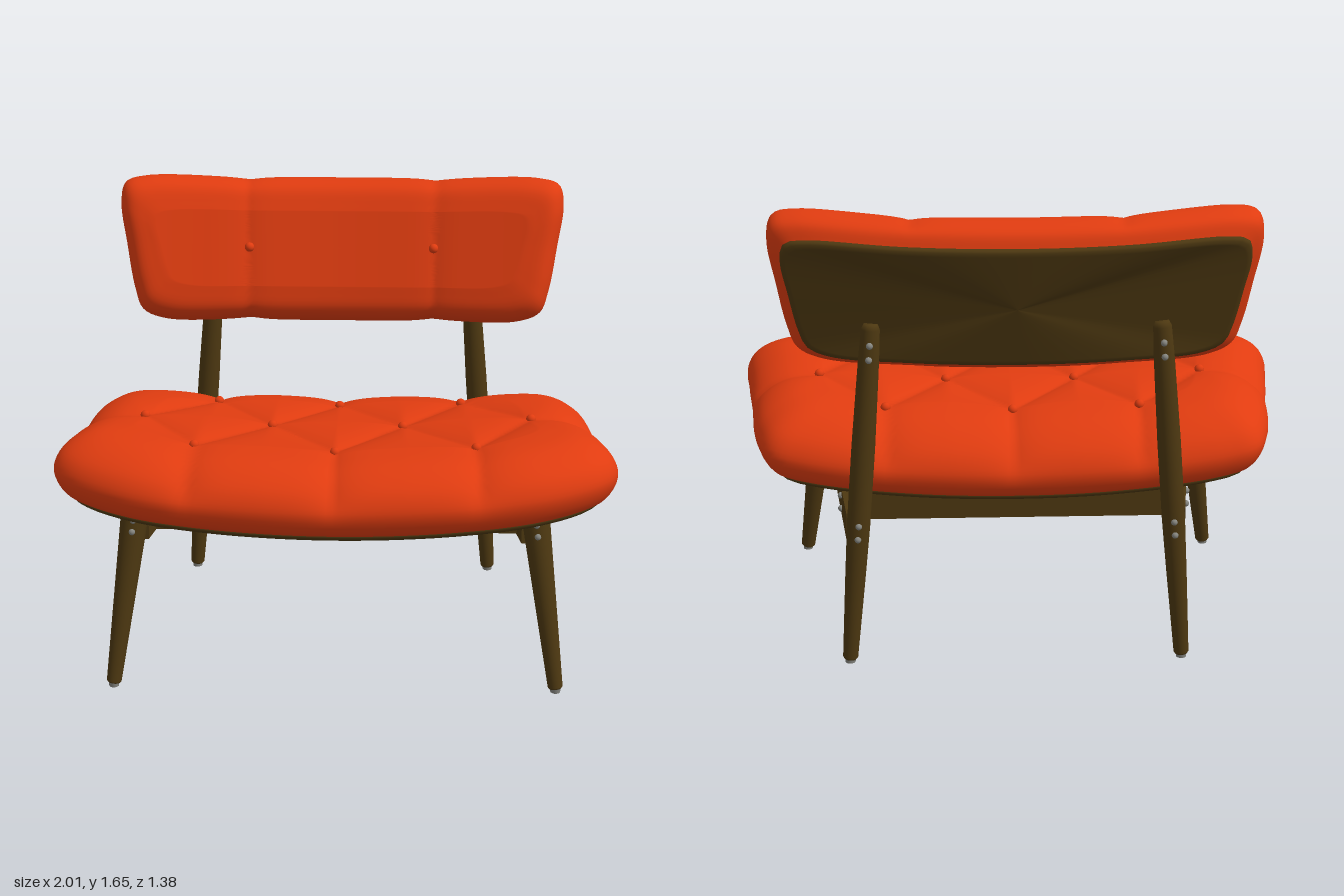
import * as THREE from 'three';

const V = (x, y, z) => new THREE.Vector3(x, y, z);
const fabric = new THREE.MeshStandardMaterial({ color: 0xe03c10 });
fabric.name = 'orange fabric';
const wood = new THREE.MeshStandardMaterial({ color: 0x4d3811 });
wood.name = 'dark wood';
const metal = new THREE.MeshStandardMaterial({ color: 0x85857f });
metal.name = 'grey metal';

// Right half of each outline as (a, b); mirrored to close the loop
const seatShape = {
  half: [[0, -0.69], [0.5, -0.66], [0.76, -0.605], [0.94, -0.5], [1, -0.4], [0.985, -0.2], [0.96, 0],
    [0.925, 0.25], [0.87, 0.38], [0.76, 0.425], [0.4, 0.465], [0, 0.475]],
  mid: -0.11, A: 1, B: 0.58,
  map: (a, b, h) => V(a, h - 0.08 * b + 0.07 * a * a, -b),
};
const backShape = {
  half: [[0, -0.29], [0.4, -0.29], [0.68, -0.285], [0.76, -0.25], [0.79, -0.17], [0.82, 0], [0.842, 0.16],
    [0.825, 0.235], [0.75, 0.26], [0.4, 0.26], [0, 0.26]],
  mid: -0.015, A: 0.84, B: 0.275,
  map: (a, b, h) => {
    const w = h + 0.14 * a * a;
    return V(a, 1.35 + 0.961 * b + 0.276 * w, -0.62 - 0.276 * b + 0.961 * w);
  },
};

function segmentDistance(a, b, [x1, y1, x2, y2]) {
  const dx = x2 - x1, dy = y2 - y1;
  const t = THREE.MathUtils.clamp(((a - x1) * dx + (b - y1) * dy) / (dx * dx + dy * dy), 0, 1);
  return Math.hypot(a - x1 - t * dx, b - y1 - t * dy);
}

// Closed pad: outline swept through a profile of (inset, height), with seams pressed in
function pad(shape, profile, { n = 240, inner = 50, steps = 24, seams = [], depth = 0, width = 0.08, seamFrom = 0, seamFull = 1 } = {}) {
  const { half, mid, A, B, map } = shape;
  const left = half.slice(1, -1).reverse().map(([a, b]) => [-a, b]);
  const outline = new THREE.CatmullRomCurve3([...half, ...left].map(([a, b]) => V(a, b, 0)), true, 'centripetal').getSpacedPoints(n);
  const curve = new THREE.CatmullRomCurve3(profile.map(([i, h]) => V(i, h, 0)), false, 'centripetal').getPoints(steps);
  const first = curve[0], last = curve[steps];
  const rows = [[0, 0, first.y]];
  for (const p of curve) rows.push([1 - p.x / A, 1 - p.x / B, p.y]);
  for (let k = inner - 1; k >= 0; k--) {
    rows.push([(1 - last.x / A) * k / inner, (1 - last.x / B) * k / inner, last.y]);
  }
  const pos = [], index = [];
  rows.forEach(([sa, sb, h], i) => {
    for (let j = 0; j < n; j++) {
      pos.push(outline[j].x * sa, mid + (outline[j].y - mid) * sb, h);
      if (i === 0) continue;
      const k = (j + 1) % n, lo = (i - 1) * n, hi = i * n;
      index.push(lo + j, lo + k, hi + k, lo + j, hi + k, hi + j);
    }
  });
  const g = new THREE.BufferGeometry();
  g.setAttribute('position', new THREE.Float32BufferAttribute(pos, 3));
  g.setIndex(index);
  g.computeVertexNormals();
  const P = g.attributes.position, N = g.attributes.normal, p = V(), m = V();
  for (let i = 0; i < P.count; i++) {
    p.fromBufferAttribute(P, i);
    m.fromBufferAttribute(N, i);
    if (seams.length) {
      const d = Math.min(...seams.map((s) => segmentDistance(p.x, p.y, s)));
      const k = THREE.MathUtils.smoothstep(p.z, seamFrom, seamFull);
      p.addScaledVector(m, -depth * k * Math.exp(-d / width));
    }
    const q = map(p.x, p.y, p.z);
    P.setXYZ(i, q.x, q.y, q.z);
  }
  g.computeVertexNormals();
  return g;
}

export function createModel() {
  const root = new THREE.Group();
  root.name = 'loungeChair';
  const add = (name, geometry, material, at) => {
    const mesh = new THREE.Mesh(geometry, material);
    mesh.name = name;
    if (at) mesh.position.copy(at);
    root.add(mesh);
    return mesh;
  };

  // Diamond-tufted seat: seams run between the buttons and out to the edges
  const seatSeams = [[0, 0.21, 0, 0.6], [0, -0.38, 0, -0.8]];
  for (const s of [-1, 1]) {
    seatSeams.push(
      [s * 0.46, 0.21, s * 0.45, 0.6], [s * 0.5, -0.37, s * 0.52, -0.8], [s * 0.71, -0.06, s * 1.1, -0.03],
      [s * 0.71, -0.06, s * 0.46, 0.21], [s * 0.71, -0.06, s * 0.5, -0.37], [s * 0.24, -0.07, s * 0.46, 0.21],
      [s * 0.24, -0.07, s * 0.5, -0.37], [s * 0.24, -0.07, 0, 0.21], [s * 0.24, -0.07, 0, -0.38]);
  }
  add('seatCushion', pad(seatShape,
    [[0.1, 0.605], [0.035, 0.625], [0, 0.7], [0.02, 0.765], [0.07, 0.815], [0.15, 0.855], [0.27, 0.875]],
    { seams: seatSeams, depth: 0.03, width: 0.07, seamFrom: 0.66, seamFull: 0.8 }), fabric);
  add('seatBase', pad(seatShape, [[0.13, 0.583], [0.075, 0.592], [0.055, 0.61], [0.07, 0.63]],
    { n: 120, inner: 4, steps: 8 }), wood);

  // Curved, reclined backrest with two vertical seams
  add('backCushion', pad(backShape,
    [[0.06, 0], [0.012, 0.035], [0, 0.09], [0.012, 0.15], [0.05, 0.195], [0.13, 0.215]],
    { seams: [-1, 1].map((s) => [s * 0.35, -0.4, s * 0.36, 0.4]), depth: 0.014, width: 0.05, seamFrom: 0.02, seamFull: 0.1 }), fabric);
  add('backPanel', pad(backShape, [[0.07, -0.014], [0.052, -0.01], [0.048, 0.005], [0.055, 0.02]],
    { n: 120, inner: 16, steps: 8 }), wood);

  // Buttons
  const button = new THREE.SphereGeometry(0.018, 16, 10);
  for (const [a, b] of [[-0.46, 0.21], [0, 0.21], [0.46, 0.21], [-0.71, -0.06], [-0.24, -0.07], [0.24, -0.07],
    [0.71, -0.06], [-0.5, -0.37], [0, -0.385], [0.5, -0.37]]) {
    add('seatButton', button, fabric, seatShape.map(a, b, 0.85));
  }
  for (const a of [-0.35, 0.35]) add('backButton', button, fabric, backShape.map(a, -0.01, 0.206));

  // Turned leg along an axis, from a profile of (radius, fraction of length)
  const leg = (name, from, to, profile) => {
    const axis = to.clone().sub(from), len = axis.length();
    const pts = profile.map(([r, t]) => new THREE.Vector2(r, t * len));
    const mesh = add(name, new THREE.LatheGeometry(pts, 28), wood, from);
    mesh.quaternion.setFromUnitVectors(V(0, 1, 0), axis.normalize());
    add('footPad', new THREE.CylinderGeometry(0.02, 0.018, 0.02, 20), metal, V(from.x, 0.01, from.z));
  };
  const rail = (name, from, to, height, thickness) => {
    const mesh = add(name, new THREE.BoxGeometry(thickness, height, from.distanceTo(to)), wood,
      from.clone().add(to).multiplyScalar(0.5));
    mesh.lookAt(to);
  };
  const screwShape = new THREE.SphereGeometry(0.012, 12, 8);

  for (const s of [-1, 1]) {
    leg('frontLeg', V(s * 0.803, 0.014, 0.498), V(s * 0.715, 0.655, 0.39),
      [[0, 0], [0.022, 0], [0.027, 0.01], [0.05, 0.97], [0.046, 1], [0, 1]]);
    leg('rearLeg', V(s * 0.595, 0.014, -0.545), V(s * 0.495, 1.27, -0.56),
      [[0, 0], [0.022, 0], [0.027, 0.006], [0.036, 0.25], [0.041, 0.42], [0.041, 0.65], [0.036, 0.9], [0.032, 0.985], [0.024, 1], [0, 1]]);
    rail('sideRail', V(s * 0.69, 0.6, 0.4), V(s * 0.575, 0.515, -0.53), 0.11, 0.045);

    // Screws
    for (const [x, y, z] of [[0.723, 0.59, 0.447], [0.718, 0.632, 0.442], [0.699, 0.61, 0.28], [0.699, 0.56, 0.28],
      [0.623, 0.56, -0.34], [0.623, 0.51, -0.34], [0.556, 0.49, -0.589], [0.552, 0.54, -0.59],
      [0.504, 1.15, -0.594], [0.5, 1.2, -0.593]]) {
      add('screw', screwShape, metal, V(s * x, y, z));
    }
  }
  rail('frontCrossRail', V(-0.66, 0.588, 0.28), V(0.66, 0.588, 0.28), 0.1, 0.045);
  rail('rearCrossRail', V(-0.59, 0.525, -0.34), V(0.59, 0.525, -0.34), 0.1, 0.045);
  return root;
}
